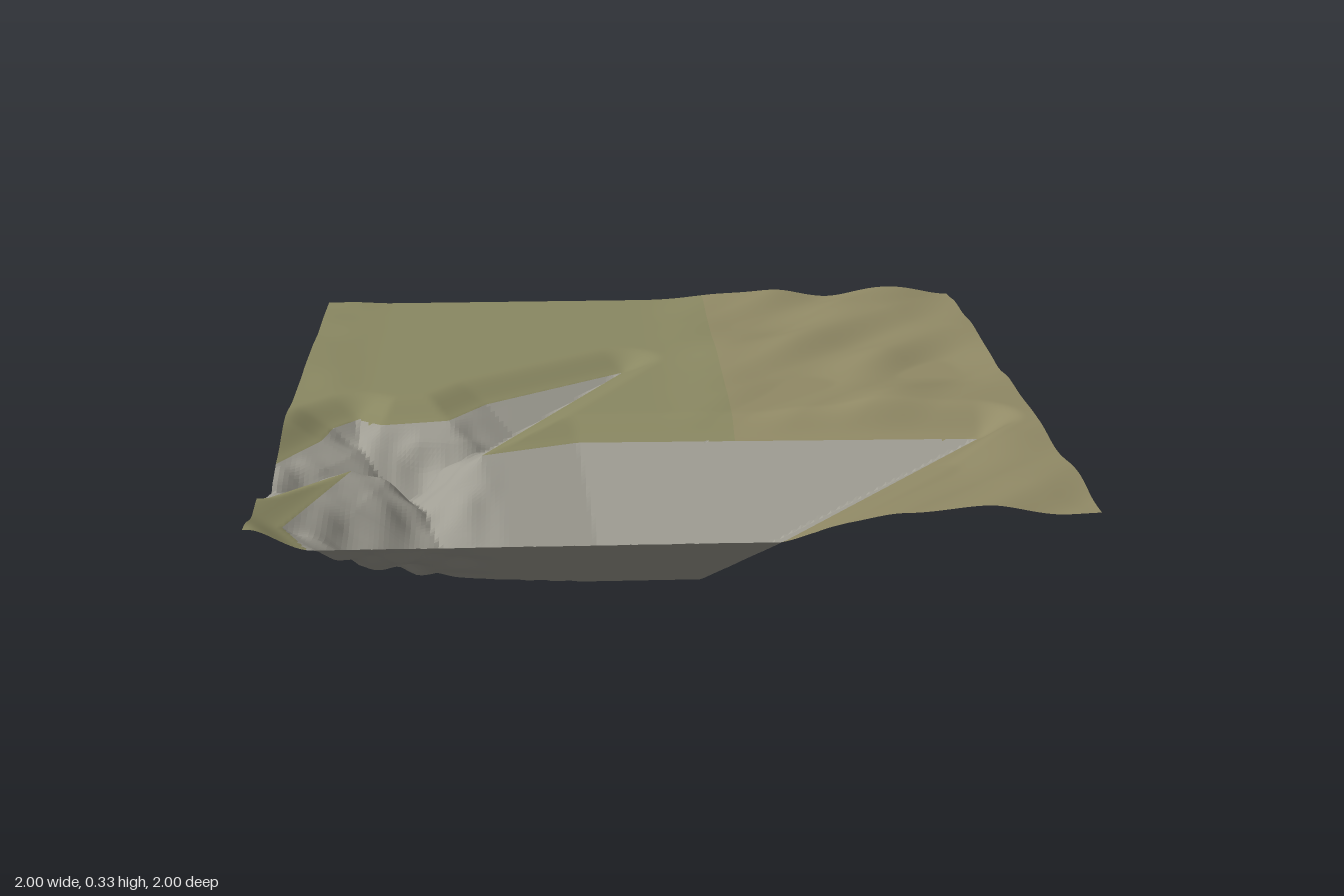
import * as THREE from 'three';

const N = 170, CELL = 2 / N, RIM_Y = 0.245, SLOPE = 0.68;

// Rim of the quarry in plan (x, z); it opens at the left border and meets the front border
const rim = [[-0.85, 1], [-0.93, 0.85], [-0.8, 0.46], [-1, 0.66], [-1, 0.4], [-0.9, 0.22],
  [-0.88, 0.12], [-0.82, 0.05], [-0.75, 0.1], [-0.57, 0.07], [-0.47, -0.07], [-0.08, -0.35],
  [-0.47, 0.36], [-0.22, 0.27], [0.85, 0.29], [0.25, 1]];
const OPEN_EDGE = 3;

function insidePit(x, z) {
  let inside = false;
  rim.forEach(([ax, az], i) => {
    const [bx, bz] = rim[(i + 1) % rim.length];
    if ((az > z) !== (bz > z) && x < ax + (z - az) / (bz - az) * (bx - ax)) inside = !inside;
  });
  return inside;
}

// Closest point on the rim
function nearestRim(x, z) {
  let best = { d: Infinity };
  rim.forEach(([ax, az], i) => {
    if (i === OPEN_EDGE) return;
    const [bx, bz] = rim[(i + 1) % rim.length];
    const dx = bx - ax, dz = bz - az;
    const t = THREE.MathUtils.clamp(((x - ax) * dx + (z - az) * dz) / (dx * dx + dz * dz), 0, 1);
    const px = ax + t * dx, pz = az + t * dz, d = Math.hypot(x - px, z - pz);
    if (d < best.d) best = { d, px, pz };
  });
  return best;
}

// Smooth value noise in 0..1
function hash(i, j) {
  const s = Math.sin(i * 127.1 + j * 311.7) * 43758.5453;
  return s - Math.floor(s);
}
function noise(x, z) {
  const i = Math.floor(x), j = Math.floor(z);
  const u = THREE.MathUtils.smoothstep(x - i, 0, 1), v = THREE.MathUtils.smoothstep(z - j, 0, 1);
  const lerp = THREE.MathUtils.lerp;
  return lerp(lerp(hash(i, j), hash(i + 1, j), u), lerp(hash(i, j + 1), hash(i + 1, j + 1), u), v);
}

// Dunes run diagonally over the right side; the ground dips to the rim of the pit
function groundHeight(x, z, d) {
  const ss = THREE.MathUtils.smoothstep;
  const across = (x + z) * 5.2, along = (x - z) * 2;
  const mask = ss(x, 0, 0.45);
  const dune = mask * 0.05 * Math.max(0, noise(across + 20, along + 9) - 0.12);
  const leftRise = 0.014 * ss(-x, 0.8, 1) * noise(x * 6, z * 6 + 3);
  return RIM_Y + (0.043 + dune + leftRise) * ss(d, -0.01, 0.12);
}

// Pit walls fall evenly away from the rim, rougher at the left
function pitHeight(x, z, d) {
  const rough = THREE.MathUtils.smoothstep(-x, 0.4, 0.6) * Math.min(1, d / 0.08);
  const bump = (noise(x * 14, z * 14) - 0.35) * 0.05 * rough;
  return Math.max(0, RIM_Y - d * SLOPE + bump);
}

export function createModel() {
  const group = new THREE.Group();
  const positions = [];

  // Terrain grid, with vertices close to the rim pulled onto it
  for (let j = 0; j <= N; j++) {
    for (let i = 0; i <= N; i++) {
      let x = -1 + i * CELL, z = -1 + j * CELL;
      const near = nearestRim(x, z);
      let d = near.d;
      const border = i === 0 || j === 0 || i === N || j === N;
      if (!border && d < CELL * 0.5) {
        x = near.px;
        z = near.pz;
        d = 0;
      }
      const y = d > 0 && insidePit(x, z) ? pitHeight(x, z, d) : groundHeight(x, z, d);
      positions.push(x, d === 0 ? RIM_Y : y, z);
    }
  }

  // Sort the triangles by surface
  const faces = { grassGround: [], duneGround: [], quarryRock: [] };
  const addFace = (...tri) => {
    const cx = tri.reduce((s, k) => s + positions[k * 3], 0) / 3;
    const cz = tri.reduce((s, k) => s + positions[k * 3 + 2], 0) / 3;
    const part = insidePit(cx, cz) ? 'quarryRock' : cx > 0.2 ? 'duneGround' : 'grassGround';
    faces[part].push(...tri);
  };
  for (let j = 0; j < N; j++) {
    for (let i = 0; i < N; i++) {
      const a = j * (N + 1) + i, b = a + 1, c = a + N + 1, e = c + 1;
      addFace(a, c, b);
      addFace(b, c, e);
    }
  }

  // Common normals keep the ground seamless between surfaces
  const terrain = new THREE.BufferGeometry();
  terrain.setAttribute('position', new THREE.Float32BufferAttribute(positions, 3));
  terrain.setIndex(Object.values(faces).flat());
  terrain.computeVertexNormals();

  const colors = { grassGround: 0x8a8862, duneGround: 0x918a66, quarryRock: 0xa09e94 };
  for (const [name, index] of Object.entries(faces)) {
    const geometry = new THREE.BufferGeometry();
    geometry.setAttribute('position', terrain.attributes.position);
    geometry.setAttribute('normal', terrain.attributes.normal);
    geometry.setIndex(index);
    const mesh = new THREE.Mesh(geometry, new THREE.MeshStandardMaterial({
      color: colors[name], side: THREE.DoubleSide, flatShading: name === 'quarryRock',
    }));
    mesh.name = name;
    group.add(mesh);
  }
  return group;
}
